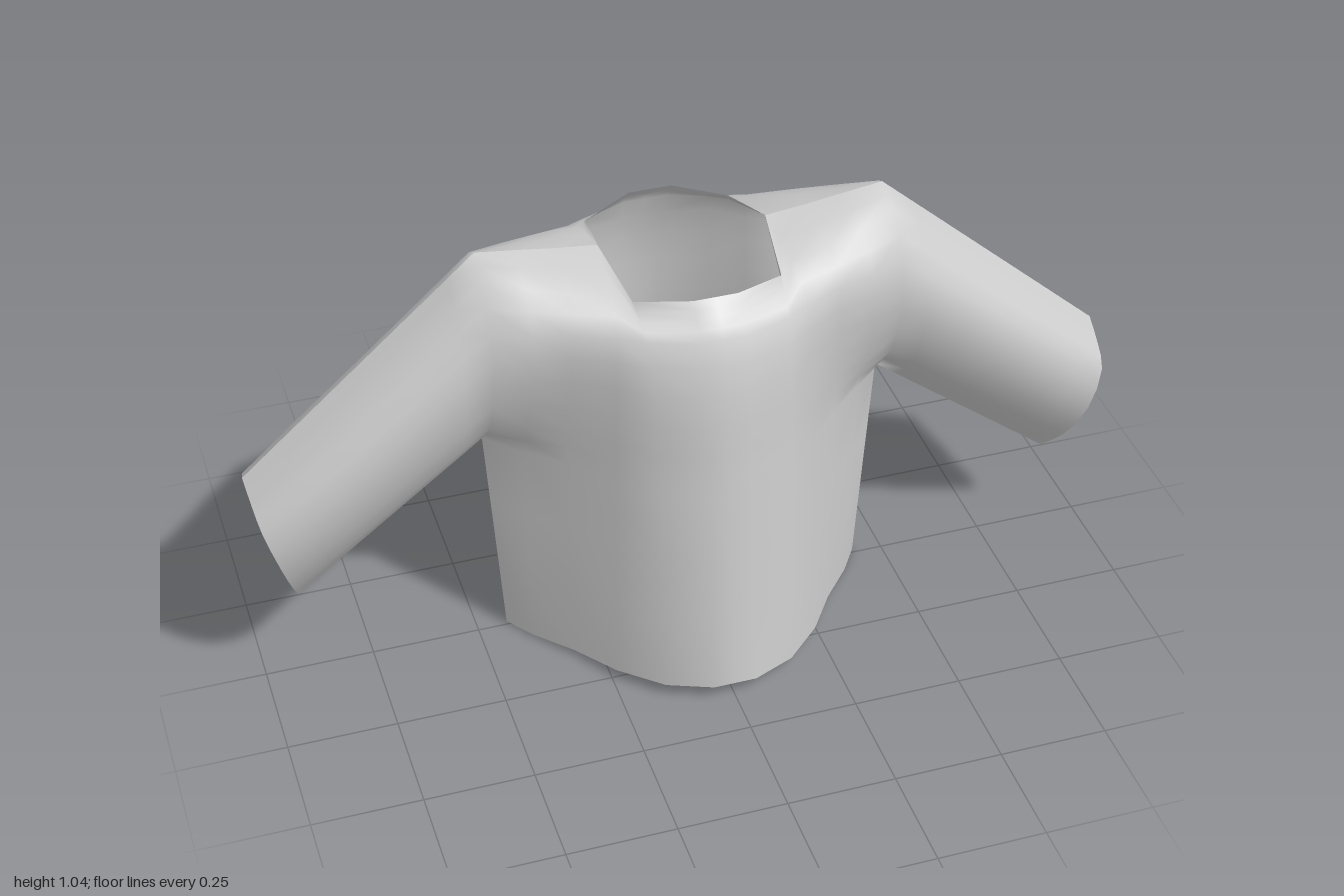
import * as THREE from 'three';
import { mergeVertices } from 'three/addons/utils/BufferGeometryUtils.js';

const SEAM_Z = -0.01;

// Torso columns from the centre line out to the armhole:
// x at hem, chest and top; depth at hem and at each upper row; height of top
const COLUMNS = [
  [0, 0, 0, 0.39, [0.342, 0.332, 0.317, 0.285, 0.255, 0.225], 0.99],
  [0.05, 0.05, 0.05, 0.39, [0.342, 0.332, 0.317, 0.285, 0.255, 0.225], 0.99],
  [0.15, 0.15, 0.165, 0.345, [0.305, 0.295, 0.285, 0.25, 0.21, 0.17], 0.975],
  [0.24, 0.225, 0.19, 0.255, [0.23, 0.228, 0.228, 0.215, 0.135, 0], 1.01],
  [0.31, 0.31, 0.28, 0.15, [0.135, 0.145, 0.172, 0.178, 0.12, 0], 1.02],
  [0.385, 0.39, 0.37, 0.06, [0.065, 0.11, 0.157, 0.157, 0.09, 0], 1.033],
  [0.43, 0.465, 0.46, 0, [0, 0.083, 0.133, 0.125, 0.058, 0], 1.045],
];
const ROW_Y = [0.55, 0.65, 0.8, 0.92];
const SHOULDER_DROP = 0.03;

// Half of the sleeve opening, from the lower seam to the upper seam
const CUFF = [
  [0.905, 0.21, 0], [0.925, 0.29, 0.064], [0.955, 0.4, 0.117],
  [0.985, 0.5, 0.108], [0.994, 0.537, 0.055], [1, 0.567, 0],
];
const STATIONS = [0.12, 0.3, 0.5, 0.7, 0.87, 1];
const STEPS = 10;

function spline(points) {
  return new THREE.CatmullRomCurve3(points).getPoints(STEPS);
}

// One half of the garment, front (1) or back (-1), including both half sleeves
function panelGeometry(facing) {
  const back = facing < 0;
  const point = (x, y, d) => new THREE.Vector3(x, y, d === 0 ? SEAM_Z : d * facing);
  const hemLift = back ? 0.07 : 0.037;

  const lower = [], upper = [];
  for (const [xHem, xChest, xTop, dHem, depths, yTop] of COLUMNS) {
    // The back neckline sits a little lower and further out
    const neck = back && depths[5] > 0 ? 0.02 : 0;
    const topY = yTop - neck;
    const rows = [...ROW_Y, topY - SHOULDER_DROP, topY];
    const pts = rows.map((y, i) => {
      const x = xChest + (xTop - xChest) * (i / 5) ** 2;
      return point(x, y, depths[i] + (i > 3 ? neck : 0));
    });
    upper.push(spline(pts));
    const hem = point(xHem, hemLift * dHem / 0.39, dHem);
    lower.push([0, 0.33, 0.67, 1].map(t => hem.clone().lerp(pts[0], t)));
  }

  // Sleeve sections run from the armhole to the cuff, slightly fuller midway
  const armhole = upper[upper.length - 1];
  const cuff = spline(CUFF.map(p => point(...p)));
  for (const s of STATIONS) {
    const fullness = 1 + 0.07 * Math.sin(Math.PI * s ** 1.5);
    upper.push(armhole.map((p, i) => {
      const q = p.clone().lerp(cuff[i], s);
      q.z = SEAM_Z + (q.z - SEAM_Z) * fullness;
      return q;
    }));
  }

  const positions = [];
  function addGrid(grid, side) {
    const push = p => positions.push(p.x * side, p.y, p.z);
    for (let i = 0; i < grid.length - 1; i++) {
      for (let j = 0; j < grid[i].length - 1; j++) {
        const a = grid[i][j], b = grid[i + 1][j], c = grid[i + 1][j + 1], d = grid[i][j + 1];
        const corners = side * facing > 0 ? [a, b, c, a, c, d] : [a, c, b, a, d, c];
        corners.forEach(push);
      }
    }
  }
  for (const side of [1, -1]) {
    addGrid(lower, side);
    addGrid(upper, side);
  }

  const soup = new THREE.BufferGeometry();
  soup.setAttribute('position', new THREE.Float32BufferAttribute(positions, 3));
  const geometry = mergeVertices(soup, 1e-4);
  geometry.computeVertexNormals();
  return geometry;
}

export function createModel() {
  const cloth = new THREE.MeshStandardMaterial({ color: 0xcccccc, side: THREE.DoubleSide });
  cloth.name = 'light grey cloth';

  const shirt = new THREE.Group();
  shirt.name = 'shirt';
  // Separate halves keep the side, shoulder and sleeve seams crisp
  for (const [name, facing] of [['frontPanel', 1], ['backPanel', -1]]) {
    const mesh = new THREE.Mesh(panelGeometry(facing), cloth);
    mesh.name = name;
    shirt.add(mesh);
  }
  return shirt;
}
